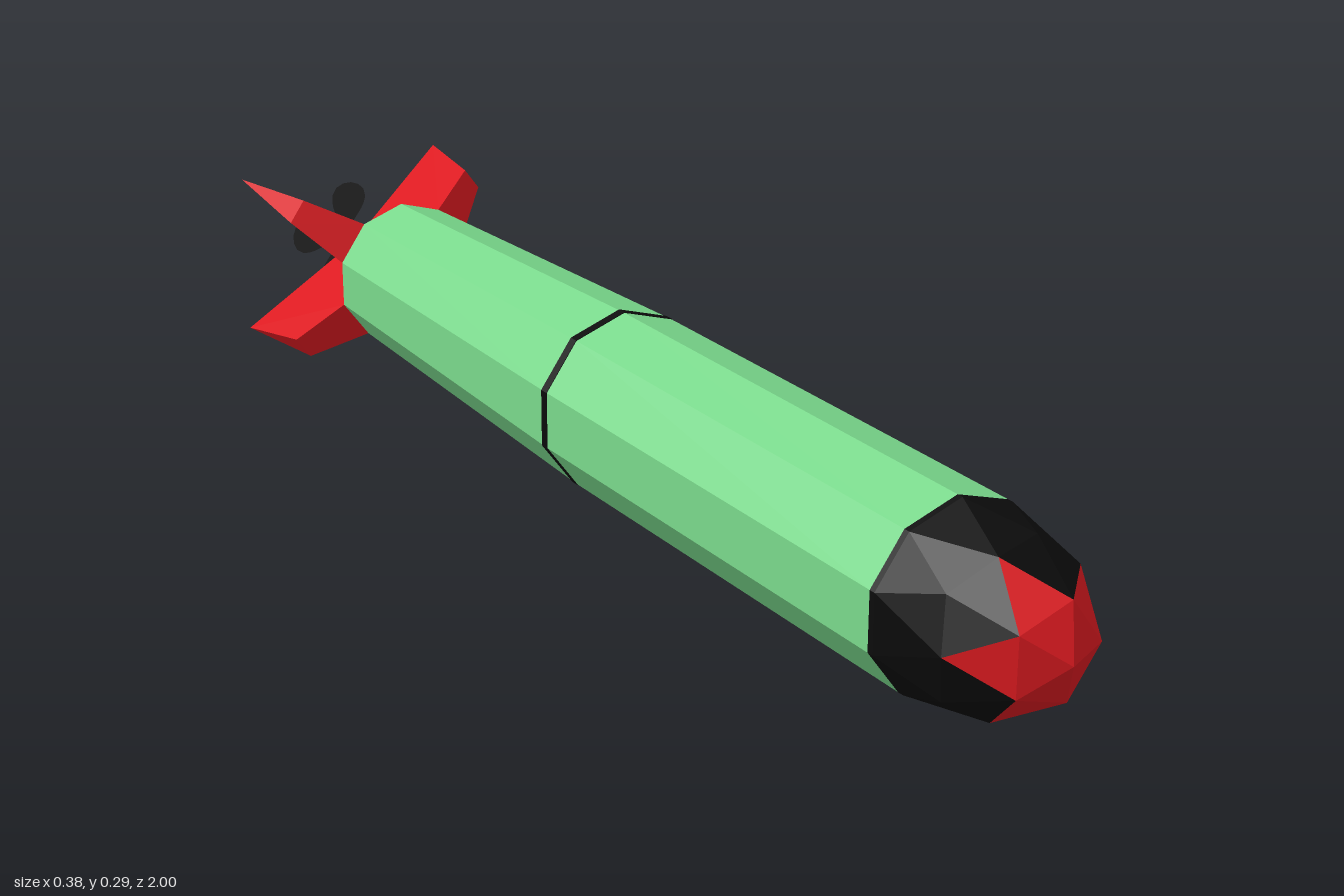
import * as THREE from 'three';

const R = 0.146;          // hull radius
const AXIS_Y = 0.147;     // height of the long axis
const SIDES = 10;

const mat = (color, side = THREE.FrontSide) =>
  new THREE.MeshStandardMaterial({ color, flatShading: true, side });
const green = mat(0x7ad98c);
const red = mat(0xdc1a20);
const black = mat(0x0b0b0b);
const darkGrey = mat(0x2e2e2e, THREE.DoubleSide);

function add(group, name, geometry, material) {
  const mesh = new THREE.Mesh(geometry, material);
  mesh.name = name;
  group.add(mesh);
  return mesh;
}

// Faceted tube along z, from zFront (radius rFront) to zBack (radius rBack)
function tube(zFront, zBack, rFront, rBack, open = true, sides = SIDES) {
  const g = new THREE.CylinderGeometry(rFront, rBack, zFront - zBack, sides, 1, open);
  g.rotateX(Math.PI / 2);
  g.translate(0, 0, (zFront + zBack) / 2);
  return g;
}

// Flat-shaded geometry from a list of triangles of Vector3
function facets(triangles) {
  const g = new THREE.BufferGeometry().setFromPoints(triangles.flat());
  g.computeVertexNormals();
  return g;
}

// Half of a subdivided icosahedron, with a five-pointed star around its pole
function addNose(group, zBase, length) {
  const at = (polar, azimuth) => {
    const p = THREE.MathUtils.degToRad(polar), a = THREE.MathUtils.degToRad(azimuth);
    return new THREE.Vector3(
      R * Math.sin(p) * Math.cos(a), R * Math.sin(p) * Math.sin(a), zBase + length * Math.cos(p));
  };
  const star = [], shell = [];
  const pole = at(0, 0);
  for (let k = 0; k < 5; k++) {
    const a = 72 * k;
    const in0 = at(31.72, a), in1 = at(31.72, a + 72);
    const v0 = at(63.43, a), v1 = at(63.43, a + 72);
    const mid = at(58.28, a + 36);
    const e0 = at(90, a - 18), e1 = at(90, a + 18), e2 = at(90, a + 54);
    star.push([pole, in0, in1], [in0, mid, in1]);
    shell.push([v0, mid, in0], [in1, mid, v1], [mid, e1, e2],
      [v0, e1, mid], [v1, mid, e2], [v0, e0, e1]);
  }
  add(group, 'noseStar', facets(star), red);
  add(group, 'noseShell', facets(shell), black);
}

// Wedge fin: wide at the hull, sharp along its rear edge; x is outward
function finGeometry() {
  const V = (x, y, z) => new THREE.Vector3(x, y, z);
  const a = V(0.117, -0.038, -0.755), b = V(0.117, 0.038, -0.755);
  const c = V(0.211, -0.022, -0.81), d = V(0.211, 0.022, -0.81);
  const tip = V(0.235, 0, -0.985), root = V(0.015, 0, -0.945);
  return facets([
    [a, c, d], [a, d, b], [c, tip, d],
    [a, tip, c], [a, root, tip],
    [b, d, tip], [b, tip, root],
  ]);
}

// Flat teardrop blade pointing up
function bladeGeometry() {
  const s = new THREE.Shape();
  s.moveTo(-0.01, 0.01);
  s.bezierCurveTo(-0.014, 0.035, -0.034, 0.05, -0.033, 0.075);
  s.bezierCurveTo(-0.03, 0.108, 0.03, 0.108, 0.033, 0.075);
  s.bezierCurveTo(0.034, 0.05, 0.014, 0.035, 0.01, 0.01);
  return new THREE.ShapeGeometry(s, 6);
}

export function createModel() {
  const model = new THREE.Group();
  model.name = 'torpedo';
  model.position.y = AXIS_Y;

  // Nose and its dark collar
  addNose(model, 0.77, 0.23);
  add(model, 'noseCollar', tube(0.77, 0.76, R, R), black);

  // Hull: straight front, tapering rear, tail cone
  add(model, 'frontHull', tube(0.76, -0.045, R, R), green);
  add(model, 'seamRing', tube(-0.042, -0.057, R + 0.001, R + 0.001, false), black);
  add(model, 'rearHull', tube(-0.045, -0.755, R, 0.123), green);
  add(model, 'tailCone', tube(-0.755, -0.93, 0.123, 0.018, false), green);

  // Four diagonal fins, each on one flat of the hull
  for (const deg of [36, 144, 216, 324]) {
    add(model, 'fin', finGeometry(), red).rotation.z = THREE.MathUtils.degToRad(deg);
  }

  // Propeller: shaft, hub and four blades
  add(model, 'propellerShaft', tube(-0.915, -0.97, 0.02, 0.02, false, 8), red);
  const propeller = new THREE.Group();
  propeller.name = 'propeller';
  add(propeller, 'hub', tube(-0.965, -1, 0.028, 0.028, false, 12), darkGrey);
  for (let i = 0; i < 4; i++) {
    const blade = add(propeller, 'blade', bladeGeometry(), darkGrey);
    blade.position.z = -0.982;
    blade.rotation.z = i * Math.PI / 2;
  }
  propeller.rotation.z = -0.2;
  model.add(propeller);

  const root = new THREE.Group();
  root.add(model);
  return root;
}
